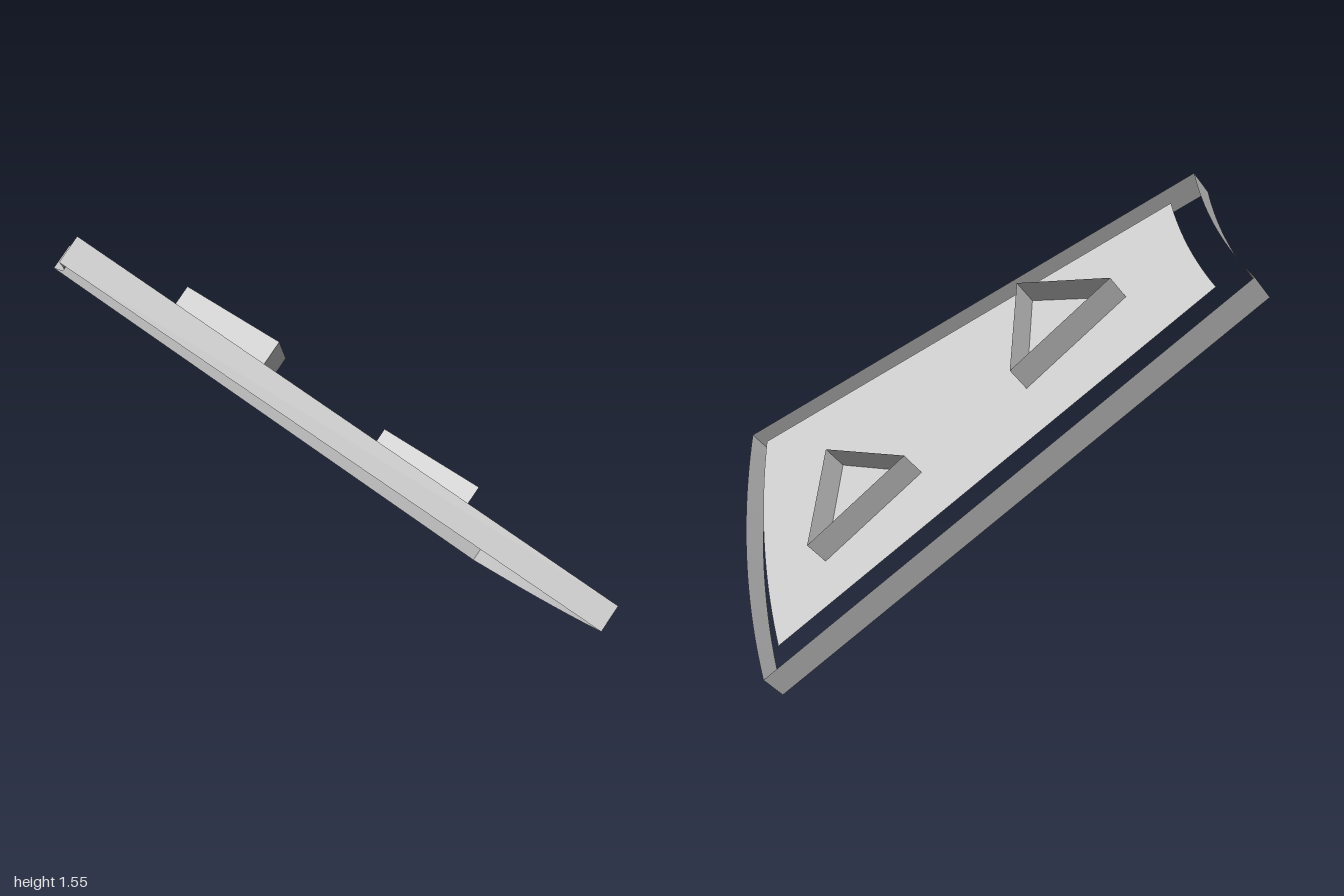
import * as THREE from 'three';

const material = new THREE.MeshStandardMaterial({ color: 0xcccccc, side: THREE.DoubleSide });
const HEIGHT = 0.091;

// Outline of a ring sector: arcs about the origin, joined by straight sides
function sectorOutline(inner, innerHalf, outer, outerHalf, steps = 20) {
  const points = [];
  const arc = (r, from, to) => {
    for (let i = 0; i <= steps; i++) {
      const t = THREE.MathUtils.degToRad(from + ((to - from) * i) / steps);
      points.push(new THREE.Vector2(r * Math.cos(t), r * Math.sin(t)));
    }
  };
  arc(outer, -outerHalf, outerHalf);
  arc(inner, innerHalf, -innerHalf);
  return points;
}

// Thin open wall following a closed outline
function wall(name, outline, z0, z1) {
  const pos = [];
  outline.forEach((p, i) => {
    const q = outline[(i + 1) % outline.length];
    pos.push(p.x, p.y, z0, q.x, q.y, z0, q.x, q.y, z1);
    pos.push(p.x, p.y, z0, q.x, q.y, z1, p.x, p.y, z1);
  });
  const geometry = new THREE.BufferGeometry();
  geometry.setAttribute('position', new THREE.Float32BufferAttribute(pos, 3));
  geometry.computeVertexNormals();
  const mesh = new THREE.Mesh(geometry, material);
  mesh.name = name;
  return mesh;
}

export function createModel() {
  const model = new THREE.Group();
  model.name = 'curvedPanel';
  const panel = new THREE.Group();
  panel.name = 'tiltedPanel';
  model.add(panel);

  // Border wall hanging below the panel plane
  panel.add(wall('borderWall', sectorOutline(2.1, 9.1, 4.01, 9.1), -HEIGHT, 0));

  // Inset sheet, level with the upper rim of the border
  const sheet = new THREE.Mesh(
    new THREE.ShapeGeometry(new THREE.Shape(sectorOutline(2.2, 6.87, 3.93, 7.8))), material);
  sheet.name = 'insetSheet';
  panel.add(sheet);

  // Two open triangular walls standing on the sheet
  [[2.677, -0.03], [3.51, 0.13]].forEach(([x, y], i) => {
    const corners = [44.6, 164.6, 284.6].map((deg) => {
      const t = THREE.MathUtils.degToRad(deg);
      return new THREE.Vector2(x + 0.243 * Math.cos(t), y + 0.243 * Math.sin(t));
    });
    panel.add(wall(`triangleWall${i + 1}`, corners, 0, HEIGHT));
  });

  // Tilt: local x runs down the panel, local z is its upper normal
  const along = new THREE.Vector3(0.7, -0.6, -0.39).normalize();
  const across = new THREE.Vector3(0.24, 0.71, -0.66).cross(along).normalize();
  const normal = along.clone().cross(across);
  panel.quaternion.setFromRotationMatrix(new THREE.Matrix4().makeBasis(along, across, normal));
  panel.position.set(-2.203, 2.682, 1.24);
  return model;
}
